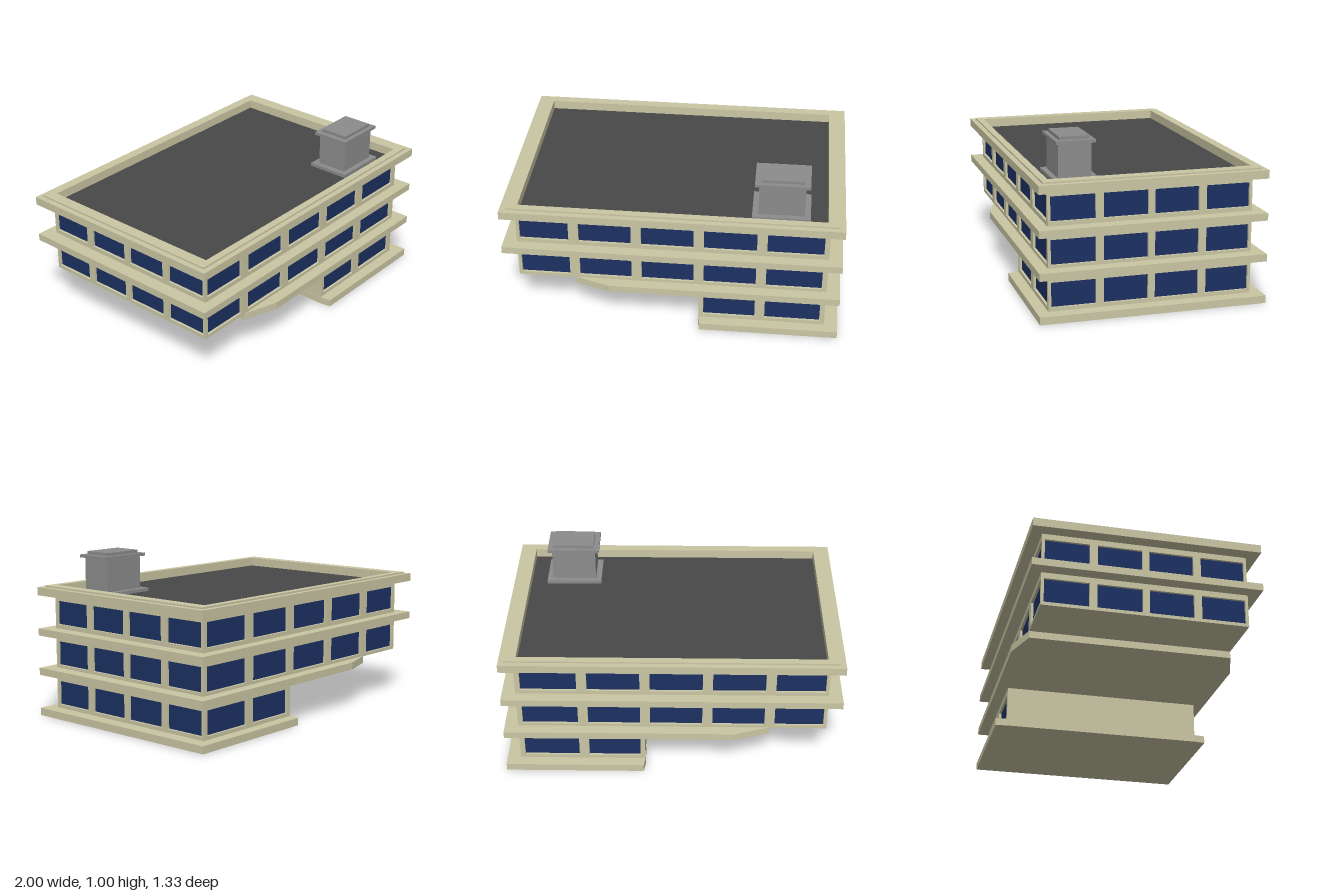
import * as THREE from 'three';

const material = (color) => new THREE.MeshStandardMaterial({ color });

export function createModel() {
  const model = new THREE.Group();
  const concrete = material(0xcac6a4), glass = material(0x1c3162);
  const roofing = material(0x484848), metal = material(0x8c8c8c);

  // box given by its extents on each axis
  function box(name, mat, [x0, x1], [y0, y1], [z0, z1], parent = model) {
    const mesh = new THREE.Mesh(new THREE.BoxGeometry(x1 - x0, y1 - y0, z1 - z0), mat);
    mesh.position.set((x0 + x1) / 2, (y0 + y1) / 2, (z0 + z1) / 2);
    mesh.name = name;
    parent.add(mesh);
    return mesh;
  }
  const outline = (pts, Type = THREE.Shape) => new Type(pts.map(([a, b]) => new THREE.Vector2(a, b)));
  const rect = (a0, a1, b0, b1) => [[a0, b0], [a1, b0], [a1, b1], [a0, b1]];

  // horizontal plate from a plan outline, with an optional opening
  function plate(name, pts, y0, y1, hole) {
    const shape = outline(pts);
    if (hole) shape.holes.push(outline(hole, THREE.Path));
    const geo = new THREE.ExtrudeGeometry(shape, { depth: y1 - y0, bevelEnabled: false });
    geo.rotateX(-Math.PI / 2).translate(0, y0, 0);
    const mesh = new THREE.Mesh(geo, concrete);
    mesh.name = name;
    model.add(mesh);
  }

  // wall panel with window openings, facing +z before it is turned
  const T = 0.015, WX = 0.92, WZ = 0.6;
  function panel(name, from, to, y0, y1, bays, sill, head, offset, turn, parent) {
    const shape = outline(rect(from, to, y0, y1));
    for (const [a, b] of bays) shape.holes.push(outline(rect(a, b, sill, head), THREE.Path));
    const geo = new THREE.ExtrudeGeometry(shape, { depth: T, bevelEnabled: false });
    geo.translate(0, 0, offset - T).rotateY(turn);
    const mesh = new THREE.Mesh(geo, concrete);
    mesh.name = name;
    parent.add(mesh);
  }

  const longBays = [[-0.9, -0.61], [-0.55, -0.24], [-0.18, 0.13], [0.19, 0.5], [0.56, 0.89]];
  const sideBays = [[-0.583, -0.325], [-0.28, -0.02], [0.02, 0.28], [0.325, 0.583]];
  const flip = (bays) => bays.map(([a, b]) => [-b, -a]);

  // one storey: glazed core behind four wall panels
  function storey(name, x0, y0, y1, sill, head, bays, endBays) {
    const g = new THREE.Group();
    g.name = name;
    model.add(g);
    box('windowGlass', glass, [x0 + T, WX - T], [y0 + 0.012, y1], [-WZ + T, WZ - T], g);
    box('floor', concrete, [x0 + 0.002, WX - 0.002], [y0, y0 + 0.012], [-WZ + 0.002, WZ - 0.002], g);
    panel('frontWall', x0, WX, y0, y1, bays, sill, head, WZ, 0, g);
    panel('backWall', -WX, -x0, y0, y1, flip(bays), sill, head, WZ, Math.PI, g);
    panel('leftWall', -WZ, WZ, y0, y1, sideBays, sill, head, WX, Math.PI / 2, g);
    panel('rightWall', -WZ, WZ, y0, y1, endBays, sill, head, -x0, -Math.PI / 2, g);
  }
  storey('groundFloor', 0.162, 0.04, 0.252, 0.067, 0.212, longBays.slice(3), []);
  storey('firstFloor', -WX, 0.292, 0.495, 0.312, 0.457, longBays, sideBays);
  storey('secondFloor', -WX, 0.53, 0.74, 0.56, 0.703, longBays, sideBays);

  // projecting slabs; the two lower ones taper in to the wall line at their right end
  const SZ = 0.667;
  const tapered = (end, start) => [[end, -WZ], [start, -SZ], [1, -SZ], [1, SZ], [start, SZ], [end, WZ]];
  plate('groundSlab', tapered(0.16, 0.17), 0, 0.045);
  plate('firstSlab', tapered(-0.58, -0.37), 0.25, 0.294);
  plate('secondSlab', rect(-1, 1, -SZ, SZ), 0.492, 0.535);

  // roof: edge slab, raised rim and sunken deck
  const well = rect(-0.9, 0.9, -0.592, 0.592);
  plate('roofSlab', rect(-1, 1, -SZ, SZ), 0.737, 0.786, well);
  plate('parapetRim', rect(-0.967, 0.967, -0.635, 0.635), 0.786, 0.796, well);
  box('roofDeck', roofing, [-0.905, 0.905], [0.73, 0.742], [-0.595, 0.595]);

  // rooftop vent
  const vent = new THREE.Group();
  vent.name = 'roofVent';
  model.add(vent);
  box('ventBase', metal, [0.46, 0.8], [0.74, 0.762], [0.27, 0.53], vent);
  box('ventBody', metal, [0.495, 0.765], [0.76, 0.958], [0.307, 0.498], vent);
  box('ventCap', metal, [0.47, 0.79], [0.958, 0.976], [0.286, 0.516], vent);
  box('ventLid', metal, [0.505, 0.755], [0.976, 0.995], [0.314, 0.49], vent);

  return model;
}
